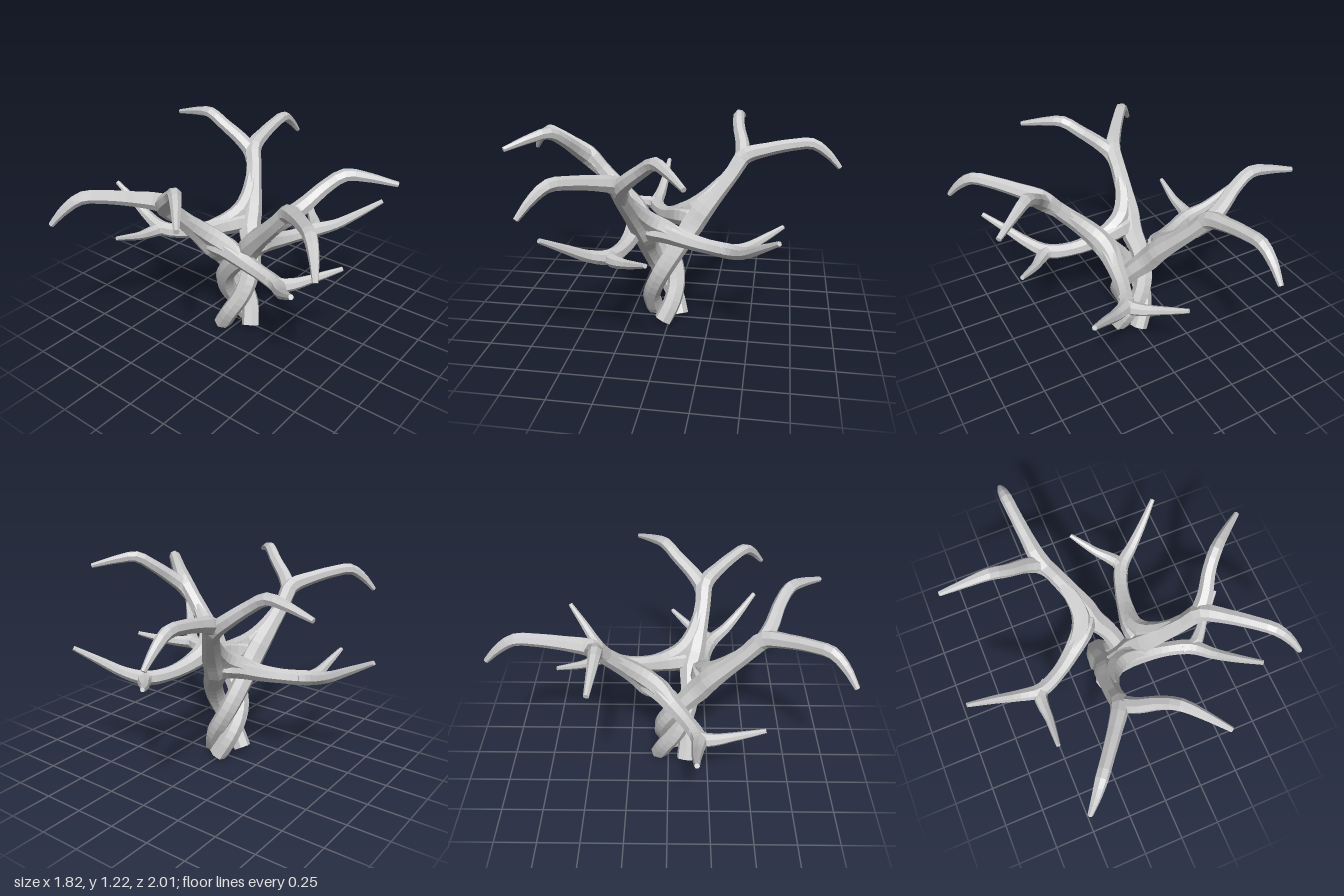
import * as THREE from 'three';

const material = new THREE.MeshStandardMaterial({ color: 0xcccccc, flatShading: true });
const SIDES = 7;

// Tapered tube with flat caps through control points [x, y, z, radius]
function limb(name, pts, segments) {
  const curve = new THREE.CatmullRomCurve3(pts.map(p => new THREE.Vector3(p[0], p[1], p[2])), false, 'centripetal');
  const geo = new THREE.TubeGeometry(curve, segments, 1, SIDES);
  const pos = geo.attributes.position;
  const v = new THREE.Vector3(), ringCentre = new THREE.Vector3(), centre = new THREE.Vector3();
  for (let i = 0; i <= segments; i++) {
    // the outermost rings collapse onto their neighbours' centres as caps
    const u = THREE.MathUtils.clamp((i - 1) / (segments - 2), 0, 1);
    const t = curve.getUtoTmapping(u) * (pts.length - 1);
    const k = Math.min(Math.floor(t), pts.length - 2);
    const capped = i === 0 || i === segments;
    const radius = capped ? 0 : THREE.MathUtils.lerp(pts[k][3], pts[k + 1][3], t - k);
    curve.getPointAt(i / segments, ringCentre);
    curve.getPointAt(u, centre);
    for (let j = 0; j <= SIDES; j++) {
      const n = i * (SIDES + 1) + j;
      v.fromBufferAttribute(pos, n).sub(ringCentre).multiplyScalar(radius).add(centre);
      pos.setXYZ(n, v.x, Math.max(v.y, 0), v.z);
    }
  }
  geo.computeVertexNormals();
  const mesh = new THREE.Mesh(geo, material);
  mesh.name = name;
  return mesh;
}

// Point on the twisted lower part, given angle (degrees) around the axis
function twist(angle, y, dist, radius) {
  const a = THREE.MathUtils.degToRad(angle);
  return [dist * Math.cos(a), y, dist * Math.sin(a), radius];
}

// One strand: twisted stem, upper fork and lower fork
function createAntler() {
  const antler = new THREE.Group();
  antler.add(
    limb('stemAndUpperBranch', [
      twist(-4, 0.02, 0.097, 0.057), twist(-50, 0.14, 0.08, 0.056),
      twist(-100, 0.25, 0.077, 0.056), twist(-142, 0.36, 0.08, 0.058),
      twist(-206, 0.5, 0.1, 0.06),
      [-0.083, 0.61, 0.145, 0.072], [-0.102, 0.7, 0.208, 0.068], [-0.12, 0.8, 0.3, 0.055],
      [-0.135, 0.92, 0.413, 0.049], [-0.14, 1.005, 0.49, 0.053], [-0.22, 1.05, 0.61, 0.042],
      [-0.31, 1.08, 0.73, 0.037], [-0.38, 1.088, 0.82, 0.036], [-0.44, 1.03, 0.89, 0.027],
      [-0.497, 0.945, 0.947, 0.015],
    ], 44),
    limb('upperSideBranch', [
      [-0.135, 0.9, 0.41, 0.04], [-0.12, 0.985, 0.49, 0.05], [-0.06, 1.048, 0.54, 0.044],
      [0.04, 1.13, 0.59, 0.038], [0.12, 1.188, 0.65, 0.036], [0.2, 1.175, 0.73, 0.028],
      [0.315, 1.133, 0.855, 0.015],
    ], 18),
    limb('lowerBranch', [
      [-0.1, 0.65, 0.175, 0.03], [-0.04, 0.65, 0.17, 0.072], [0.04, 0.638, 0.16, 0.068],
      [0.184, 0.6, 0.168, 0.051], [0.305, 0.582, 0.185, 0.044], [0.45, 0.583, 0.232, 0.046],
      [0.541, 0.62, 0.327, 0.035], [0.63, 0.69, 0.422, 0.026], [0.74, 0.777, 0.528, 0.014],
    ], 24),
    // fillet filling the crotch between stem and lower branch
    limb('crotchWeb', [
      [-0.122, 0.87, 0.355, 0.04], [-0.09, 0.775, 0.262, 0.052], [-0.035, 0.705, 0.195, 0.058],
      [0.05, 0.658, 0.165, 0.054], [0.17, 0.61, 0.167, 0.04],
    ], 12),
    limb('lowerSideBranch', [
      [0.39, 0.583, 0.222, 0.036], [0.475, 0.584, 0.22, 0.043], [0.525, 0.589, 0.178, 0.036],
      [0.582, 0.605, 0.11, 0.027], [0.647, 0.632, 0.045, 0.021], [0.714, 0.662, -0.02, 0.013],
    ], 14),
  );
  return antler;
}

export function createModel() {
  const model = new THREE.Group();
  model.name = 'branchingStand';
  // three identical strands, each turned by the golden angle
  ['frontAntler', 'backAntler', 'sideAntler'].forEach((name, i) => {
    const antler = createAntler();
    antler.name = name;
    antler.position.z = 0.04;
    antler.rotation.y = -THREE.MathUtils.degToRad(137.5) * i;
    model.add(antler);
  });
  return model;
}
